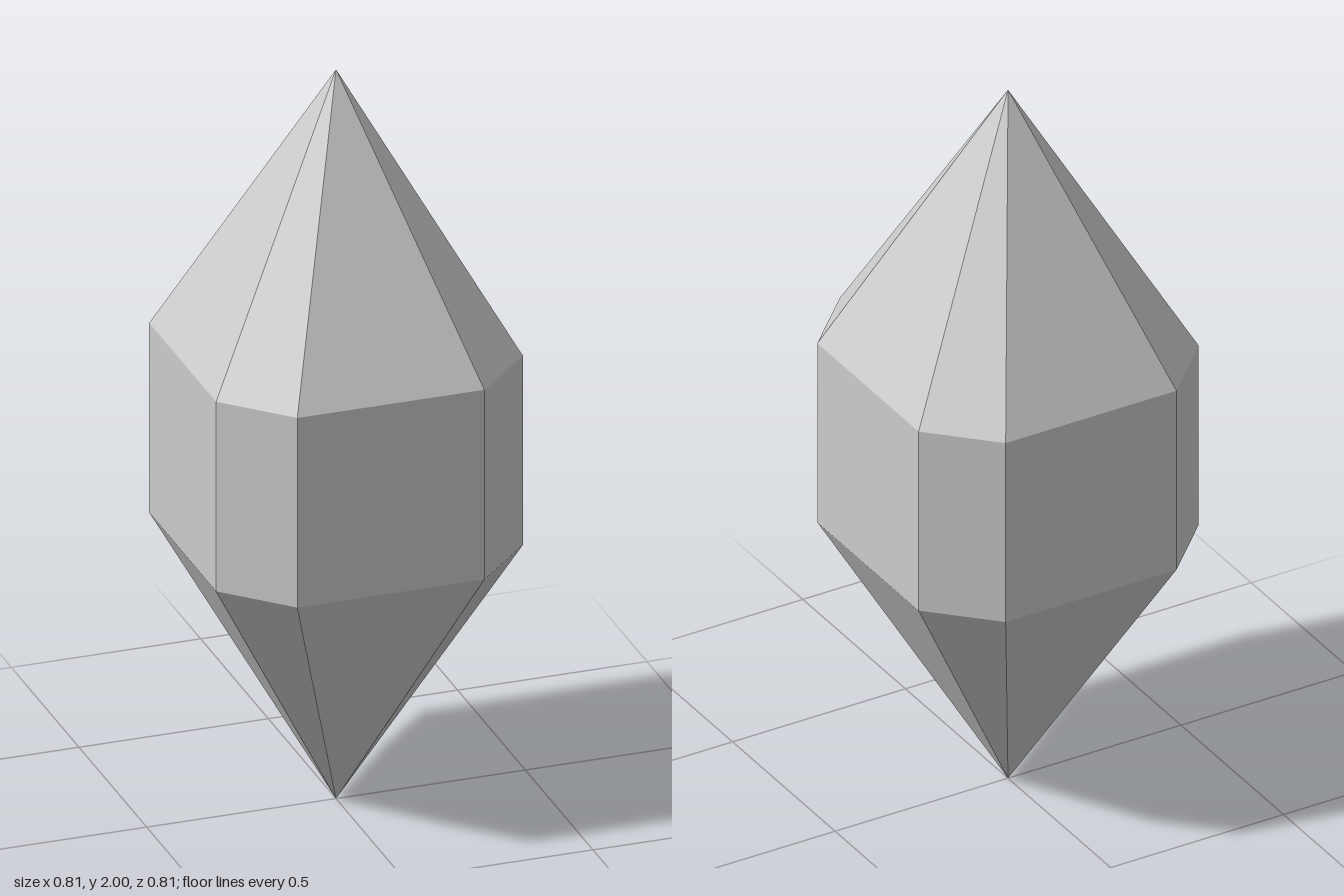
import * as THREE from 'three';

const HALF_WIDTH = 0.405; // centre to each of the four wide sides
const HALF_SIDE = 0.247;  // half the length of a wide side

export function createModel() {
  const group = new THREE.Group();
  group.name = 'crystal';
  const material = new THREE.MeshStandardMaterial({ color: 0xcccccc, flatShading: true });

  // One eight-sided section between two heights; scale 0 closes it to a point
  function addSection(name, y0, y1, bottomScale, topScale) {
    const geometry = new THREE.CylinderGeometry(topScale, bottomScale, y1 - y0, 8, 1, true, Math.PI / 8);
    geometry.translate(0, (y0 + y1) / 2, 0);

    // Reshape the regular octagon into a square with cut corners
    const p = geometry.attributes.position;
    for (let i = 0; i < p.count; i++) {
      const x = p.getX(i), z = p.getZ(i), r = Math.hypot(x, z);
      const wideX = Math.abs(x) > Math.abs(z);
      p.setX(i, Math.sign(x) * r * (wideX ? HALF_WIDTH : HALF_SIDE));
      p.setZ(i, Math.sign(z) * r * (wideX ? HALF_SIDE : HALF_WIDTH));
    }
    geometry.computeVertexNormals();

    const mesh = new THREE.Mesh(geometry, material);
    mesh.name = name;
    group.add(mesh);
  }

  addSection('lowerPoint', 0, 0.74, 0, 1);
  addSection('middleBand', 0.74, 1.26, 1, 1);
  addSection('upperPoint', 1.26, 2, 1, 0);

  return group;
}
